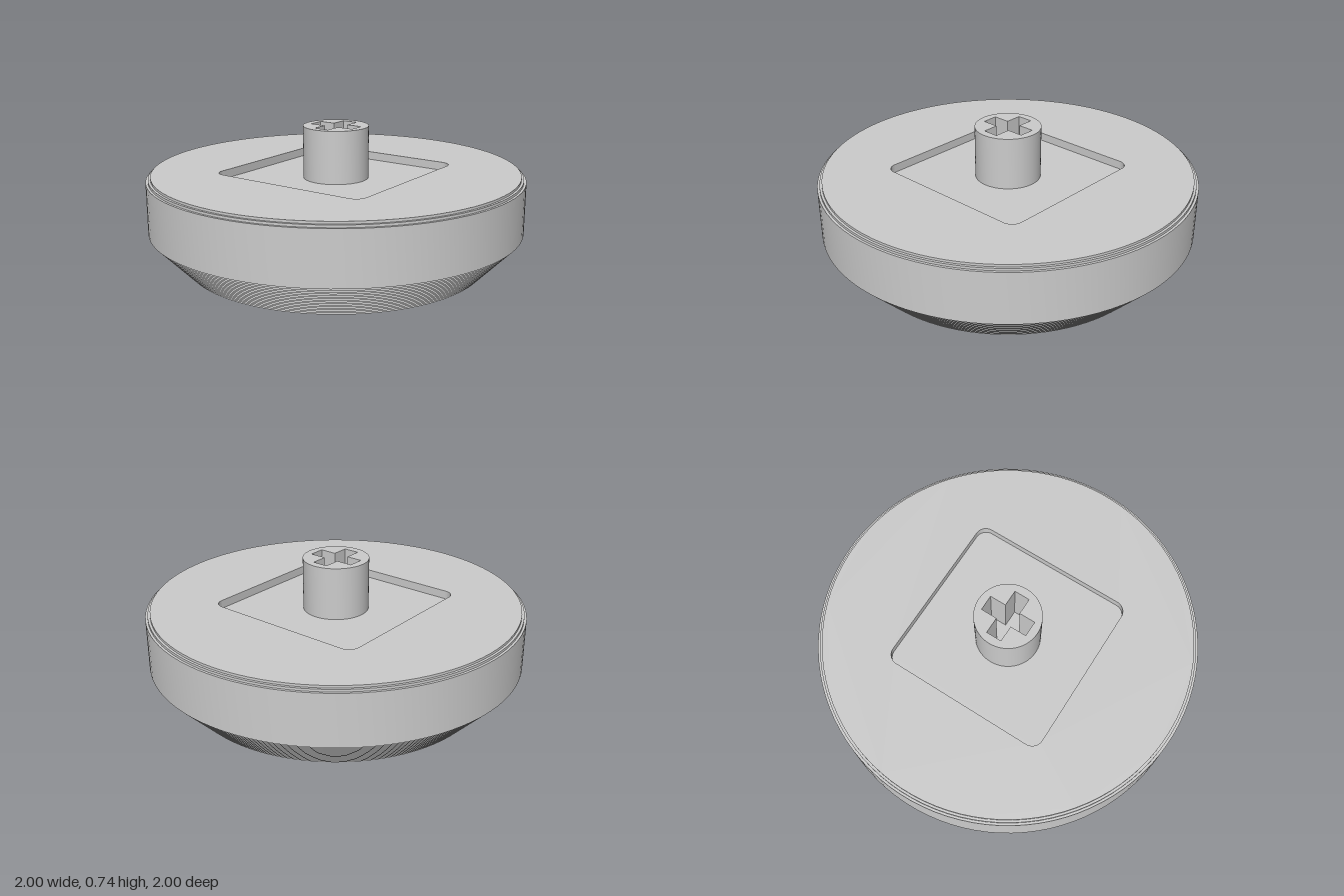
import * as THREE from 'three';
import { toCreasedNormals } from 'three/addons/utils/BufferGeometryUtils.js';

const SEGMENTS = 96;
const STEP = 0.0125;      // height and inset of one terrace
const TOP = 0.5;
const FLOOR = 0.455;      // pocket floor
const STEM_TOP = 0.735;

function circlePoints(radius) {
  return Array.from({ length: SEGMENTS }, (_, i) => {
    const a = (i / SEGMENTS) * Math.PI * 2;
    return new THREE.Vector2(radius * Math.sin(a), radius * Math.cos(a));
  });
}

function roundedSquare(half, r) {
  const path = new THREE.Path();
  const c = half - r;
  [[1, 1], [-1, 1], [-1, -1], [1, -1]].forEach(([x, y], i) =>
    path.absarc(c * x, c * y, r, (i * Math.PI) / 2, ((i + 1) * Math.PI) / 2, false));
  path.closePath();
  return path;
}

function crossPath(arm, half) {
  const corners = [];
  for (let i = 0; i < 4; i++) {
    for (const [x, y] of [[arm, -half], [arm, half], [half, half]]) {
      corners.push(new THREE.Vector2(x, y).rotateAround(new THREE.Vector2(), (i * Math.PI) / 2));
    }
  }
  return new THREE.Path(corners);
}

// Lay an XY geometry flat so that its +z becomes up
const lay = (geometry, y) => geometry.rotateX(-Math.PI / 2).translate(0, y, 0);

// Inward-facing wall along an anticlockwise outline
function pocketWall(outline, y0, y1) {
  const positions = [];
  outline.forEach((p, i) => {
    const q = outline[(i + 1) % outline.length];
    if (p.distanceTo(q) < 1e-6) return;
    const a = [p.x, y0, -p.y], b = [q.x, y0, -q.y];
    const c = [q.x, y1, -q.y], d = [p.x, y1, -p.y];
    positions.push(...a, ...c, ...b, ...a, ...d, ...c);
  });
  const geometry = new THREE.BufferGeometry();
  geometry.setAttribute('position', new THREE.Float32BufferAttribute(positions, 3));
  geometry.computeVertexNormals();
  return toCreasedNormals(geometry, Math.PI / 6);
}

export function createModel() {
  const group = new THREE.Group();
  const grey = new THREE.MeshStandardMaterial({ color: 0xcccccc });
  grey.name = 'grey';
  const add = (name, geometry) => {
    const mesh = new THREE.Mesh(geometry, grey);
    mesh.name = name;
    group.add(mesh);
  };

  // Disc shell: terraced underside, straight rim, two small steps at the top
  const profile = [new THREE.Vector2(0, 0)];
  const layer = (r, y0, y1) => profile.push(new THREE.Vector2(r, y0), new THREE.Vector2(r, y1));
  const count = 16;
  for (let i = 0; i < count; i++) layer(0.808 + i * 0.012, i * STEP, (i + 1) * STEP);
  layer(1, count * STEP, TOP - 2 * STEP);
  layer(1 - STEP, TOP - 2 * STEP, TOP - STEP);
  layer(1 - 2 * STEP, TOP - STEP, TOP);
  add('discShell', toCreasedNormals(new THREE.LatheGeometry(profile, SEGMENTS), Math.PI / 6));

  // Top face with the square pocket
  const pocket = roundedSquare(0.457, 0.06);
  const face = new THREE.Shape(circlePoints(1 - 2 * STEP));
  face.holes.push(pocket);
  add('topFace', lay(new THREE.ShapeGeometry(face), TOP));
  add('pocketWall', pocketWall(pocket.getPoints(12), FLOOR, TOP));
  add('pocketFloor', lay(new THREE.ShapeGeometry(new THREE.Shape(pocket.getPoints(12))), FLOOR));

  // Stem with a cross-shaped socket
  const stem = new THREE.Shape(circlePoints(0.174));
  stem.holes.push(crossPath(0.131, 0.042));
  const stemGeometry = new THREE.ExtrudeGeometry(stem, { depth: STEM_TOP - FLOOR, bevelEnabled: false });
  add('stem', toCreasedNormals(lay(stemGeometry, FLOOR), Math.PI / 6));

  return group;
}
